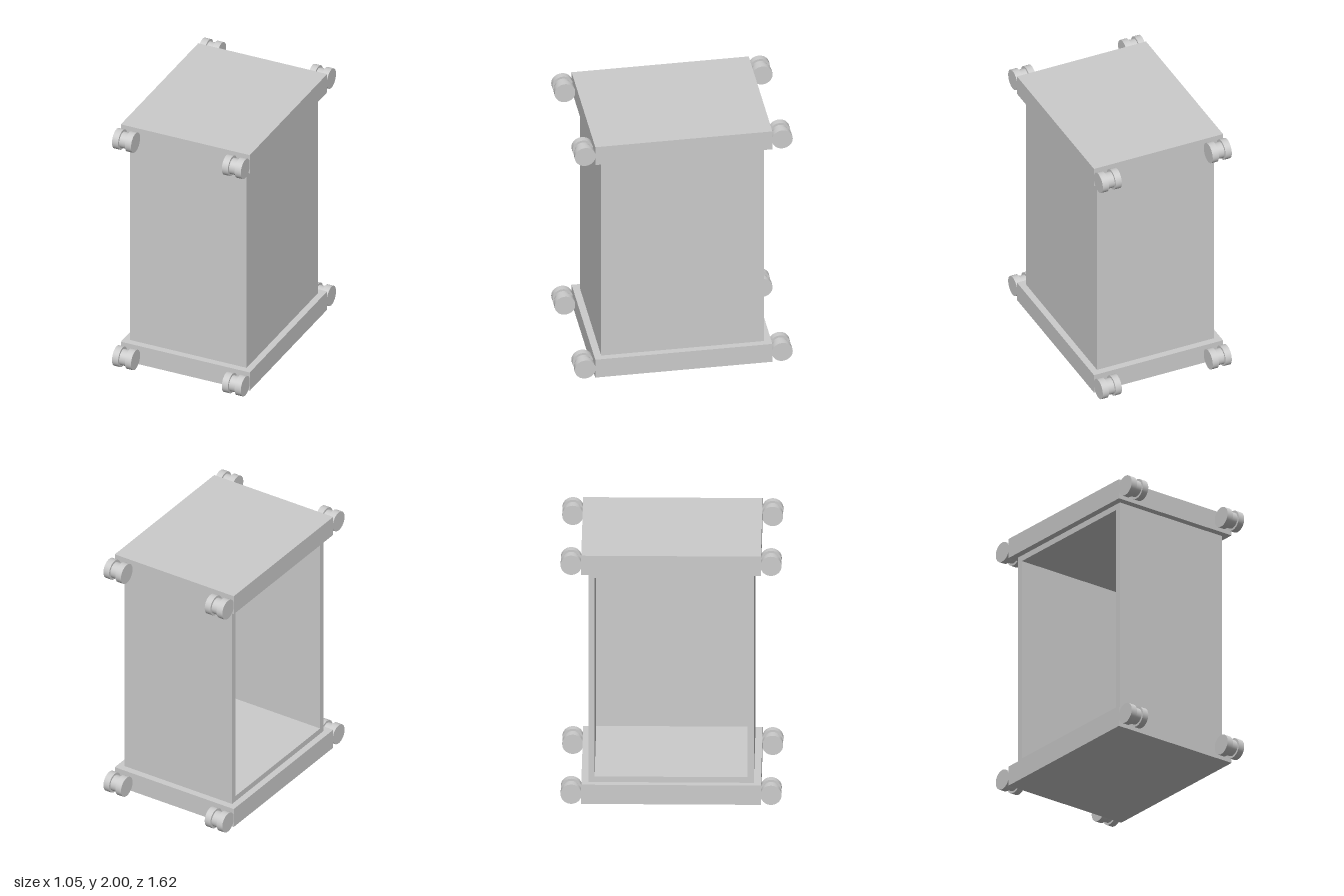
import * as THREE from 'three';

const W = 1.05, D = 1.32, H = 2, SLAB = 0.155; // end slabs
const BW = 0.95, BD = 1.215, WALL = 0.045; // hollow body

const material = new THREE.MeshStandardMaterial({ color: 0xcccccc });

function box(name, w, h, d, x, y, z) {
  const mesh = new THREE.Mesh(new THREE.BoxGeometry(w, h, d), material);
  mesh.name = name;
  mesh.position.set(x, y, z);
  return mesh;
}

// Spool: two round flanges joined by a thinner hub, axis along x
function spool(name, x, y, z) {
  const group = new THREE.Group();
  group.name = name;
  const disc = (part, radius, length, offset) => {
    const mesh = new THREE.Mesh(new THREE.CylinderGeometry(radius, radius, length, 48), material);
    mesh.name = part;
    mesh.rotation.z = Math.PI / 2;
    mesh.position.x = offset;
    group.add(mesh);
  };
  disc('outerFlange', 0.0775, 0.05, Math.sign(x) * 0.0525);
  disc('innerFlange', 0.0775, 0.05, -Math.sign(x) * 0.0525);
  disc('hub', 0.061, 0.056, 0);
  group.position.set(x, y, z);
  return group;
}

export function createModel() {
  const model = new THREE.Group();
  model.name = 'cabinet';

  // Base and top slabs
  model.add(box('baseSlab', W, SLAB, D, 0, SLAB / 2, 0));
  model.add(box('topSlab', W, SLAB, D, 0, H - SLAB / 2, 0));

  // Body shell: a rectangular tube of panels, open on -x and closed on +x
  const body = new THREE.Group();
  body.name = 'body';
  const bodyH = H - 2 * SLAB;
  const frame = new THREE.Shape();
  const rect = (path, w, h) => {
    path.moveTo(-w / 2, -h / 2);
    path.lineTo(w / 2, -h / 2);
    path.lineTo(w / 2, h / 2);
    path.lineTo(-w / 2, h / 2);
    path.closePath();
    return path;
  };
  rect(frame, BD, bodyH);
  frame.holes.push(rect(new THREE.Path(), BD - 2 * WALL, bodyH - 2 * WALL));
  const shellGeometry = new THREE.ExtrudeGeometry(frame, { depth: BW, bevelEnabled: false });
  shellGeometry.translate(0, 0, -BW / 2).rotateY(Math.PI / 2);
  const shell = new THREE.Mesh(shellGeometry, material);
  shell.name = 'shell';
  shell.position.y = H / 2;
  body.add(shell);
  body.add(box('closedSide', WALL, bodyH - 2 * WALL, BD - 2 * WALL, (BW - WALL) / 2, H / 2, 0));
  model.add(body);

  // Spools at the ends of both slabs
  for (const [level, y] of [['lower', SLAB / 2], ['upper', H - SLAB / 2]])
    for (const [end, z] of [['Front', 1], ['Back', -1]])
      for (const [side, x] of [['Left', 1], ['Right', -1]])
        model.add(spool(level + end + side + 'Spool', x * 0.447, y, z * (D / 2 + 0.0745)));

  return model;
}
